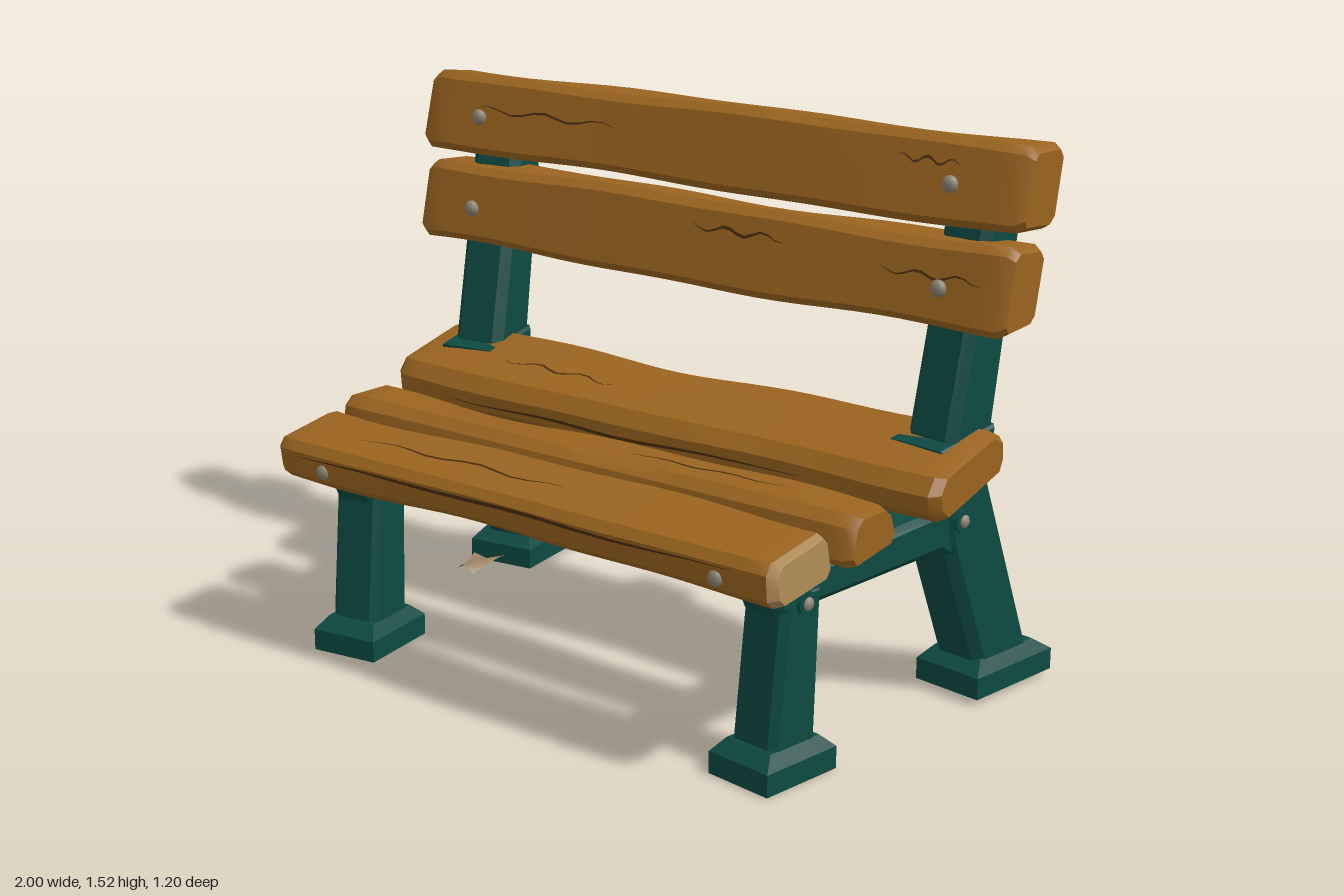
import * as THREE from 'three';
import { toCreasedNormals } from 'three/addons/utils/BufferGeometryUtils.js';

const material = (name, color, side = THREE.FrontSide) => {
  const m = new THREE.MeshStandardMaterial({ color, side });
  m.name = name;
  return m;
};

export function createModel() {
  const wood = material('wood', 0x9a6420);
  const cutWood = material('cut wood', 0xb08c58);
  const crackDark = material('dark crack', 0x4a2e0e, THREE.DoubleSide);
  const iron = material('green iron', 0x0e4a42);
  const steel = material('bolt steel', 0x8c8474);
  const paper = material('paper', 0x9c8262, THREE.DoubleSide);

  const model = new THREE.Group();
  model.name = 'bench';
  const add = (parent, name, geo, mat) => {
    const mesh = new THREE.Mesh(geo, mat);
    mesh.name = name;
    parent.add(mesh);
    return mesh;
  };

  // Plank: chamfered four-corner section [z, y] (front top, back top, back bottom,
  // front bottom) lofted along x, with gentle waves in every edge
  function plank(name, corners, half, wave, seed, chamfer, endMat = wood) {
    const section = [];
    corners.forEach((c, i) => {
      for (const j of [i + 3, i + 1]) {
        const n = corners[j % 4];
        const t = chamfer / Math.hypot(n[0] - c[0], n[1] - c[1]);
        section.push([c[0] + (n[0] - c[0]) * t, c[1] + (n[1] - c[1]) * t]);
      }
    });
    const mid = [0, 1].map(a => corners.reduce((s, c) => s + c[a], 0) / 4);
    const point = (k, x, scale = 1) => {
      const q = section[k % 8], side = Math.floor((k % 8) / 2) * 1.9 + seed;
      const w = wave * (Math.sin(x * 4.3 + side) * 0.6 + Math.sin(x * 9.1 + side * 2.3) * 0.4);
      const d = [q[0] - mid[0], q[1] - mid[1]];
      const grow = scale * (1 + w / Math.hypot(...d));
      return new THREE.Vector3(x, mid[1] + d[1] * grow, mid[0] + d[0] * grow);
    };

    const steps = 26, inner = half - 0.025, pos = [], index = [];
    const xs = [-half];
    for (let i = 0; i <= steps; i++) xs.push(-inner + (2 * inner * i) / steps);
    xs.push(half);
    xs.forEach((x, i) => {
      const scale = i === 0 || i === xs.length - 1 ? 0.86 : 1;
      for (let k = 0; k < 8; k++) pos.push(...point(k, x, scale).toArray());
    });
    const centre = pos.length / 3;
    pos.push(-half, mid[1], mid[0], half, mid[1], mid[0]);
    for (let k = 0; k < 8; k++) index.push(centre, k, (k + 1) % 8);
    let bodyEnd = 0;
    for (let i = 0; i < xs.length - 1; i++) {
      if (i === xs.length - 2) bodyEnd = index.length;
      for (let k = 0; k < 8; k++) {
        const a = i * 8 + k, b = i * 8 + (k + 1) % 8;
        index.push(a, a + 8, b, b, a + 8, b + 8);
      }
    }
    const last = (xs.length - 1) * 8;
    for (let k = 0; k < 8; k++) index.push(centre + 1, last + (k + 1) % 8, last + k);

    const geo = new THREE.BufferGeometry();
    geo.setAttribute('position', new THREE.Float32BufferAttribute(pos, 3));
    geo.setIndex(index);
    geo.addGroup(0, bodyEnd, 0);
    geo.addGroup(bodyEnd, index.length - bodyEnd, 1);
    add(model, name, toCreasedNormals(geo, 0.6), [wood, endMat]);

    // Crack: thin tapered ribbon on one face (0 top, 1 back, 2 bottom, 3 front)
    return (face, x0, x1, t, width = 0.006) => {
      const verts = [], idx = [], n = 12;
      for (let i = 0; i <= n; i++) {
        const x = x0 + ((x1 - x0) * i) / n;
        const a = point(face * 2 + 1, x), b = point(face * 2 + 2, x);
        const dir = b.clone().sub(a);
        const out = new THREE.Vector3(1, 0, 0).cross(dir).normalize().multiplyScalar(0.003);
        const m = a.clone().addScaledVector(dir, t + 0.05 * Math.sin(i * 1.3 + seed)).add(out);
        dir.normalize().multiplyScalar(width * Math.sin((Math.PI * i) / n) + 0.0005);
        verts.push(...m.clone().sub(dir).toArray(), ...m.clone().add(dir).toArray());
        if (i < n) idx.push(2 * i, 2 * i + 2, 2 * i + 1, 2 * i + 1, 2 * i + 2, 2 * i + 3);
      }
      const g = new THREE.BufferGeometry();
      g.setAttribute('position', new THREE.Float32BufferAttribute(verts, 3));
      g.setIndex(idx);
      g.computeVertexNormals();
      add(model, name + 'Crack', g, crackDark);
    };
  }

  // Back slats and seat planks
  const top = plank('topBackSlat',
    [[-0.25, 1.515], [-0.415, 1.495], [-0.37, 1.29], [-0.19, 1.295]], 0.998, 0.007, 0.4, 0.022);
  top(3, -0.8, -0.3, 0.6, 0.003);
  top(3, 0.62, 0.8, 0.75, 0.003);
  const low = plank('lowerBackSlat',
    [[-0.205, 1.26], [-0.365, 1.243], [-0.322, 1.035], [-0.152, 1.035]], 0.983, 0.009, 2.1, 0.022);
  low(3, 0.0, 0.3, 0.75, 0.004);
  low(3, 0.6, 0.9, 0.6, 0.003);
  const rear = plank('rearSeatPlank',
    [[0.035, 0.7], [-0.285, 0.768], [-0.338, 0.66], [0.025, 0.58]], 0.925, 0.013, 3.2, 0.035);
  rear(0, -0.6, -0.2, 0.4, 0.004);
  rear(3, -0.7, 0.5, 0.4, 0.004);
  const middle = plank('middleSeatPlank',
    [[0.295, 0.668], [0.13, 0.668], [0.1, 0.56], [0.32, 0.54]], 0.86, 0.012, 4.4, 0.025);
  middle(0, 0.1, 0.6, 0.5, 0.004);
  const front = plank('frontSeatPlank',
    [[0.595, 0.622], [0.358, 0.66], [0.343, 0.53], [0.58, 0.515]], 0.832, 0.01, 5.3, 0.022, cutWood);
  front(0, -0.6, 0.1, 0.45, 0.004);
  front(3, -0.75, 0.7, 0.85, 0.005);

  // Cast part: side profile [z, y] given a width in x and chamfered edges
  function casting(parent, name, profile, width, bevel) {
    const shape = new THREE.Shape(profile.map(p => new THREE.Vector2(...p)));
    const geo = new THREE.ExtrudeGeometry(shape, {
      depth: width - 2 * bevel, bevelEnabled: true, bevelSegments: 1,
      bevelSize: bevel, bevelThickness: bevel, bevelOffset: -bevel,
    });
    geo.translate(0, 0, bevel - width / 2).rotateY(-Math.PI / 2);
    add(parent, name, geo, iron);
  }

  // Foot: square pad with a tapered top
  function foot(parent, name, z, y, width, depth, shift) {
    const geo = new THREE.BoxGeometry(width, 0.1, depth, 1, 2, 1).translate(0, 0.05, 0);
    const p = geo.attributes.position;
    for (let i = 0; i < p.count; i++) {
      if (p.getY(i) > 0.09) p.setXYZ(i, p.getX(i) * 0.74, 0.095, p.getZ(i) * 0.7 + shift);
      else if (p.getY(i) > 0.04) p.setY(i, 0.06);
    }
    add(parent, name, toCreasedNormals(geo, 0.3), iron).position.set(0, y, z);
  }

  for (const s of [1, -1]) {
    // Side frame, toed inward toward the front
    const frame = new THREE.Group();
    frame.name = s > 0 ? 'leftFrame' : 'rightFrame';
    frame.position.x = 0.75 * s;
    frame.rotation.y = -0.144 * s;
    model.add(frame);
    casting(frame, 'rearLegAndPost', [[-0.325, 0.07], [-0.54, 0.07], [-0.325, 0.65],
      [-0.435, 1.33], [-0.39, 1.385], [-0.3, 1.37], [-0.165, 0.75], [-0.155, 0.55], [-0.175, 0.45]],
      0.16, 0.025);
    casting(frame, 'postCap', [[-0.36, 1.385], [-0.39, 1.388], [-0.465, 1.34], [-0.47, 1.285],
      [-0.435, 1.285], [-0.38, 1.31]], 0.19, 0.012);
    casting(frame, 'postCollar', [[-0.115, 0.738], [-0.33, 0.768], [-0.33, 0.72], [-0.12, 0.7]], 0.18, 0.008);
    casting(frame, 'seatBeam', [[0.48, 0.495], [0.45, 0.435], [-0.15, 0.45], [-0.2, 0.42],
      [-0.25, 0.6], [-0.08, 0.6], [-0.1, 0.565], [0.3, 0.545], [0.46, 0.525]], 0.14, 0.02);
    casting(frame, 'frontLeg', [[0.48, 0.07], [0.435, 0.5], [0.3, 0.5], [0.315, 0.07]], 0.15, 0.02);
    foot(frame, 'frontFoot', 0.398, 0, 0.2, 0.25, 0);
    foot(frame, 'rearFoot', -0.435, 0.018, 0.21, 0.315, 0.005);

    // Cross bolts through the frame, with iron bosses
    for (const [z, y, w] of [[0.37, 0.46, 0.15], [-0.215, 0.53, 0.16]]) {
      add(frame, 'boltBoss', new THREE.CylinderGeometry(0.032, 0.032, w + 0.02, 10), iron)
        .position.set(0, y, z);
      frame.children.at(-1).rotation.z = Math.PI / 2;
      for (const side of [1, -1]) {
        const bolt = add(frame, 'frameBolt', new THREE.SphereGeometry(0.018, 10, 6), steel);
        bolt.position.set(side * (w / 2 + 0.01), y, z);
        bolt.scale.x = 0.6;
      }
    }

    // Domed bolts on the slat fronts
    for (const [x, y, z] of [[0.785, 1.4, -0.211], [0.785, 1.14, -0.17], [0.655, 0.56, 0.587]]) {
      const bolt = add(model, 'slatBolt', new THREE.SphereGeometry(0.023, 10, 8), steel);
      bolt.position.set(s * x, y, z);
      bolt.scale.z = 0.7;
    }
  }

  // Paper scrap caught under the rear right foot
  const scrap = new THREE.PlaneGeometry(0.12, 0.15, 3, 3).rotateX(-Math.PI / 2);
  const sp = scrap.attributes.position;
  for (let i = 0; i < sp.count; i++) {
    sp.setY(i, 0.012 * Math.sin(sp.getX(i) * 40 + sp.getZ(i) * 25) - sp.getZ(i) * 0.08);
    sp.setX(i, sp.getX(i) * (0.8 - sp.getZ(i) * 4));
  }
  scrap.computeVertexNormals();
  add(model, 'paperScrap', scrap, paper).position.set(-0.83, 0.032, -0.23);

  return model;
}
